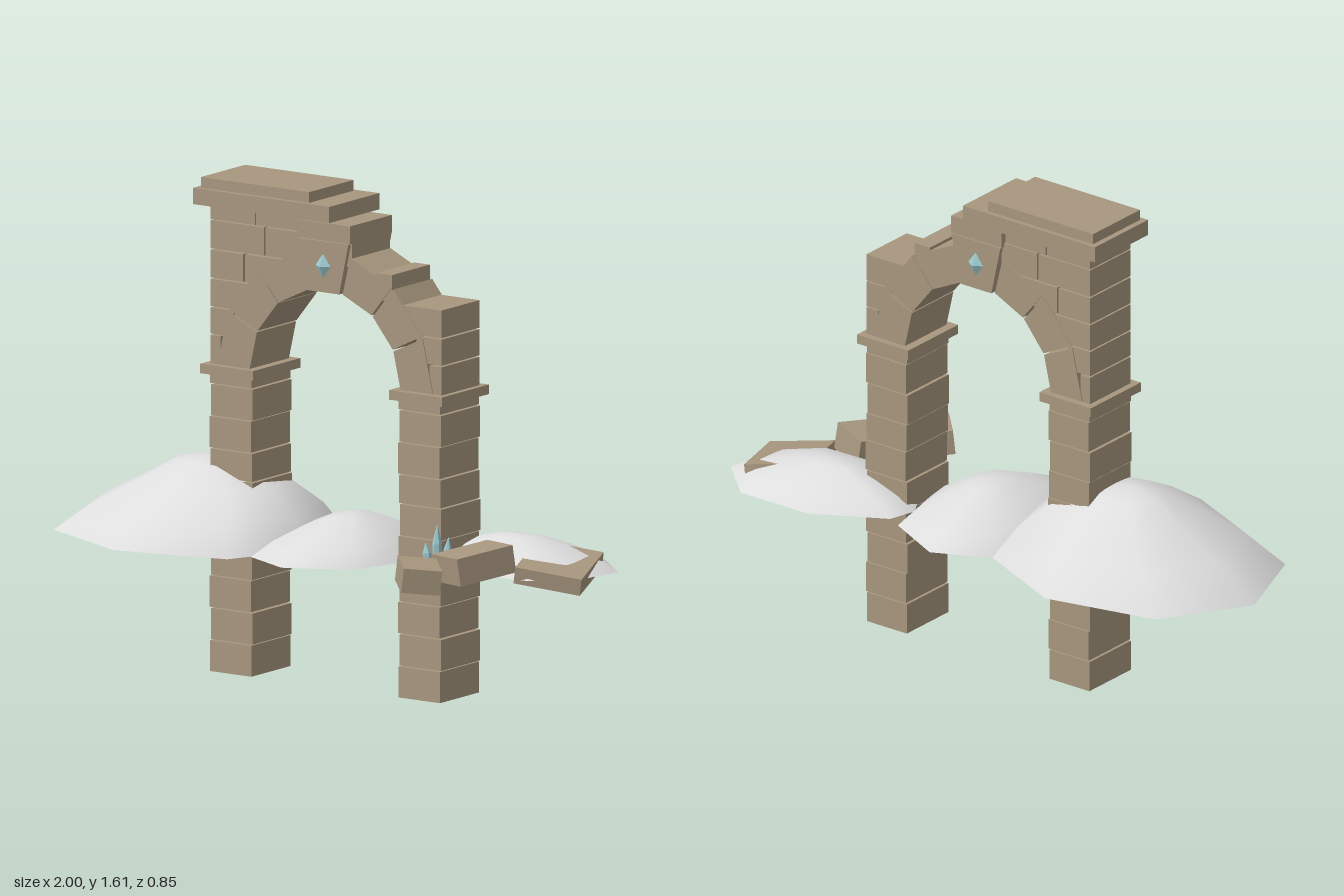
import * as THREE from 'three';

const CX = 0.0525, CZ = -0.034, SPRING = 1.0; // arch centre line

export function createModel() {
  const root = new THREE.Group();
  root.name = 'ruinedArch';
  const mat = (name, color) => {
    const m = new THREE.MeshStandardMaterial({ color, side: THREE.DoubleSide });
    m.name = name;
    return m;
  };
  const stone = mat('stone', 0xa8977f);
  const snow = mat('snow', 0xdedede);
  const crystal = mat('crystal', 0x9cc8ce);

  const add = (name, geo, material, parent = root) => {
    const m = new THREE.Mesh(geo, material);
    m.name = name;
    parent.add(m);
    return m;
  };
  const group = (name) => {
    const g = new THREE.Group();
    g.name = name;
    root.add(g);
    return g;
  };

  // Block given by its x and y range and depth, with an open underside
  const block = (name, x0, x1, y0, y1, depth, parent = root) => {
    const g = new THREE.BoxGeometry(x1 - x0, y1 - y0, depth);
    const idx = Array.from(g.index.array);
    idx.splice(18, 6);
    g.setIndex(idx);
    g.clearGroups();
    g.translate((x0 + x1) / 2, (y0 + y1) / 2, CZ);
    return add(name, g, stone, parent);
  };

  // Pillars of stacked blocks, each with a projecting impost
  const courses = [0, 0.105, 0.21, 0.315, 0.43, 0.53, 0.635, 0.73, 0.835, 0.94, 0.972];
  const shift = [0, 0.004, -0.002, 0.003, 0, 0.005, 0.002, -0.002, 0.004, 0];
  for (const [name, x] of [['rightPillar', -0.318], ['leftPillar', 0.422]]) {
    const g = group(name);
    for (let i = 0; i < courses.length - 1; i++) {
      const c = x + shift[i];
      block('pillarBlock', c - 0.081, c + 0.081, courses[i], courses[i + 1] - 0.004, 0.216, g);
    }
    block('impost', x - 0.104, x + 0.104, 0.972, 1.003, 0.26, g);
  }

  // Seven wedge stones, the middle one being the taller keystone
  const arch = group('archRing');
  const step = Math.PI / 7;
  for (let i = 0; i < 7; i++) {
    const key = i === 3;
    const r0 = 0.296, r1 = key ? 0.466 : 0.422, gap = 0.01;
    const a = i * step, b = a + step;
    const pt = (r, t) => new THREE.Vector2(CX + r * Math.cos(t), SPRING + r * Math.sin(t));
    const shape = new THREE.Shape([pt(r0, a + gap), pt(r1, a + gap), pt(r1, b - gap), pt(r0, b - gap)]);
    const depth = key ? 0.238 : 0.216;
    const geo = new THREE.ExtrudeGeometry(shape, { depth, bevelEnabled: false });
    geo.translate(0, 0, CZ - depth / 2);
    add(key ? 'keystone' : 'archStone', geo, stone, arch);
  }

  // Broken wall filling around the arch: x0, x1, y0, y1
  const wall = group('wall');
  [
    [-0.4, -0.36, 1.003, 1.095], [-0.4, -0.31, 1.1, 1.185], [-0.4, -0.255, 1.19, 1.278],
    [-0.4, -0.272, 1.283, 1.373], [-0.265, -0.12, 1.283, 1.373],
    [-0.4, -0.19, 1.378, 1.47], [-0.184, -0.04, 1.378, 1.47],
    [-0.4, -0.225, 1.474, 1.525], [-0.22, -0.056, 1.474, 1.525],
    [0.13, 0.155, 1.38, 1.46], [0.25, 0.312, 1.285, 1.373],
    [0.46, 0.507, 1.003, 1.095], [0.41, 0.507, 1.1, 1.185], [0.355, 0.507, 1.19, 1.28],
  ].forEach(([x0, x1, y0, y1]) => block('wallBlock', x0, x1, y0, y1, 0.21, wall));
  block('keystoneCap', -0.05, 0.155, 1.457, 1.515, 0.232, wall);

  // Cornice slabs
  block('lowerCornice', -0.445, 0.09, 1.522, 1.575, 0.276);
  block('upperCornice', -0.425, 0.0, 1.575, 1.61, 0.244);

  // Gem on both faces of the keystone
  for (const side of [1, -1]) {
    const geo = new THREE.OctahedronGeometry(1).scale(0.03, 0.04, 0.018);
    add('keystoneGem', geo, crystal).position.set(CX, 1.375, CZ + side * 0.12);
  }

  // Open snow mounds: rings of an eight-sided outline shrinking to a peak
  const mound = (name, outline, peak, h, lean) => {
    const n = outline.length, pos = [], idx = [];
    const rings = [[1, 0, 0], [0.78, 0.38, lean * 0.6], [0.52, 0.68, lean], [0.24, 0.93, lean * 0.5]];
    for (const [f, y, dx] of rings)
      for (const [x, z] of outline)
        pos.push(peak[0] + (x - peak[0]) * f + dx, 0.435 + y * h, peak[1] + (z - peak[1]) * f);
    pos.push(peak[0], 0.435 + h, peak[1]);
    for (let r = 0; r < rings.length; r++)
      for (let i = 0; i < n; i++) {
        const j = (i + 1) % n, a = r * n + i, b = r * n + j;
        if (r === rings.length - 1) idx.push(a, b, rings.length * n);
        else idx.push(a, b, b + n, a, b + n, a + n);
      }
    const geo = new THREE.BufferGeometry();
    geo.setAttribute('position', new THREE.Float32BufferAttribute(pos, 3));
    geo.setIndex(idx);
    geo.computeVertexNormals();
    add(name, geo, snow);
  };
  // Outlines run counter-clockwise seen from above (x, z)
  mound('largeMound', [[-1, -0.055], [-0.88, 0.26], [-0.53, 0.42], [-0.15, 0.33],
    [-0.02, 0.05], [-0.11, -0.275], [-0.44, -0.425], [-0.82, -0.34]], [-0.48, -0.01], 0.255, 0.05);
  mound('middleMound', [[-0.17, 0], [-0.11, 0.255], [0.07, 0.34], [0.285, 0.235],
    [0.345, -0.01], [0.285, -0.26], [0.075, -0.365], [-0.11, -0.28]], [0.1, -0.01], 0.13, 0);
  mound('smallMound', [[0.31, -0.14], [0.4, 0.01], [0.57, 0.07], [0.84, 0.06],
    [0.96, -0.06], [0.99, -0.225], [0.84, -0.365], [0.57, -0.365], [0.335, -0.235]], [0.64, -0.15], 0.1, 0);

  // Fallen blocks: size, position, turn (x tilt, yaw, z tilt)
  [
    [[0.22, 0.055, 0.28], [0.845, 0.453, -0.1], [0.13, 0.36, -0.14]],
    [[0.155, 0.09, 0.21], [0.675, 0.485, 0.127], [0.12, -0.4, 0.06]],
    [[0.125, 0.08, 0.165], [0.59, 0.465, 0.313], [0.06, 0.74, -0.1]],
  ].forEach(([s, p, r]) => {
    const m = add('fallenBlock', new THREE.BoxGeometry(...s), stone);
    m.position.set(...p);
    m.rotation.set(r[0], r[1], r[2], 'YXZ');
  });

  // Small pointed crystals: x, z, base, height, radius, lean
  [
    [0.55, 0.155, 0.44, 0.165, 0.016, 0],
    [0.487, 0.112, 0.44, 0.09, 0.014, 0.15],
    [0.535, 0.085, 0.44, 0.11, 0.014, -0.1],
    [-0.73, 0.09, 0.42, 0.11, 0.016, 0],
  ].forEach(([x, z, y, h, r, lean]) => {
    const profile = [[0, 0], [r * 0.85, 0], [r, h * 0.6], [0, h]].map((p) => new THREE.Vector2(...p));
    const geo = new THREE.LatheGeometry(profile, 6).toNonIndexed();
    geo.computeVertexNormals();
    const m = add('crystalShard', geo, crystal);
    m.position.set(x, y, z);
    m.rotation.z = lean;
  });

  return root;
}
